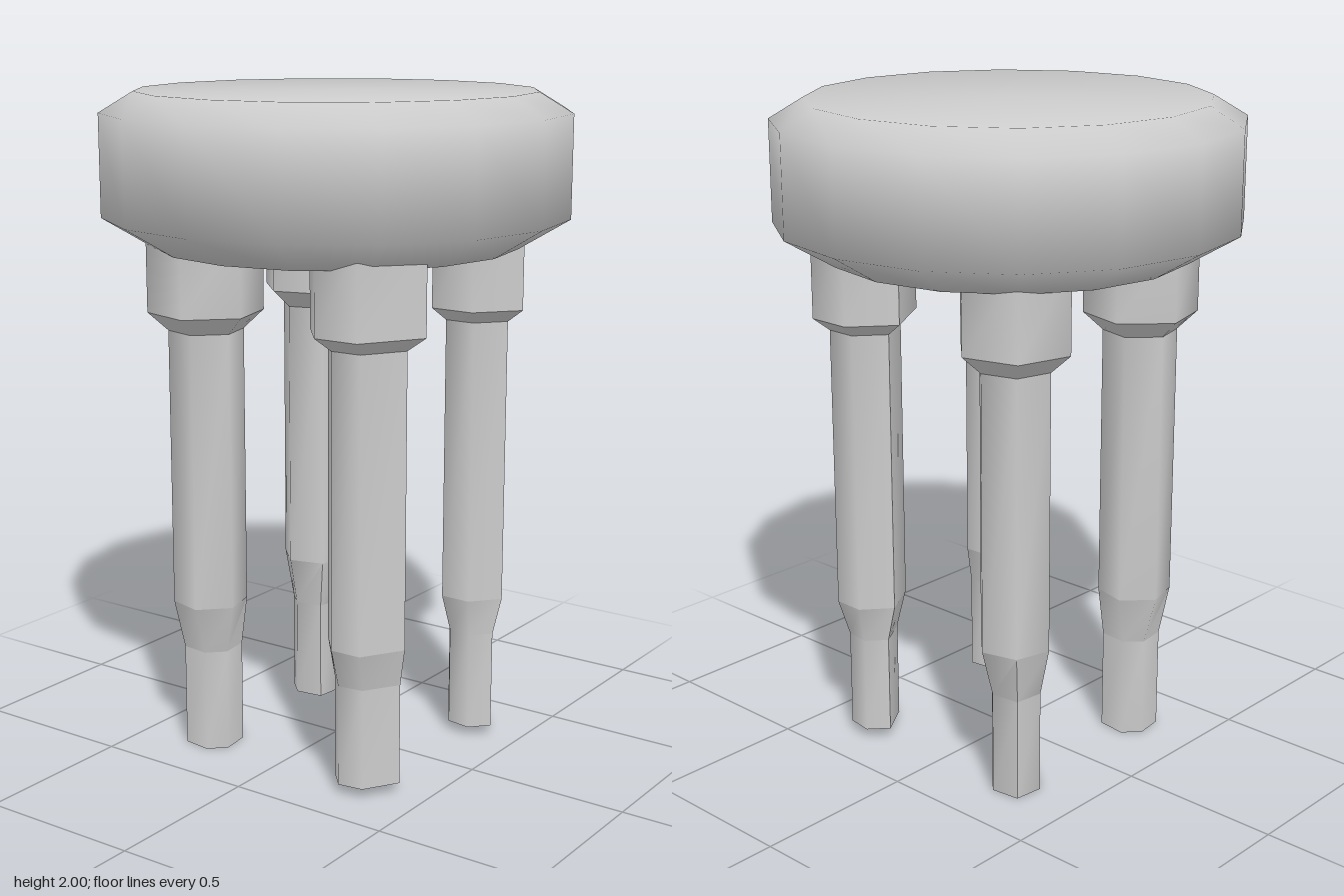
import * as THREE from 'three';
import { mergeGeometries, toCreasedNormals } from 'three/addons/utils/BufferGeometryUtils.js';

const material = new THREE.MeshStandardMaterial({ color: 0xcccccc });

// Half of a point-symmetric six-sided section, as [x, z]; the other half is its negative
const FRONT_SHAFT = [[0.103, -0.05], [0.101, 0.046], [-0.02, 0.12]];
const FRONT_FOOT = [[0.083, -0.045], [0.072, 0.032], [-0.028, 0.095]];
const BACK_SHAFT = [[0.079, -0.079], [0.108, 0.029], [0.029, 0.108]];
const BACK_FOOT = [[0.062, -0.062], [0.073, 0.026], [0.026, 0.073]];

// Full ring of a section, scaled, moved to the leg's place and mirrored for side = -1
function ring(half, scale, cx, cz, y, side) {
  const all = [...half, ...half.map(([x, z]) => [-x, -z])];
  const points = all.map(([x, z]) => [side * (cx + x * scale), y, cz + z * scale]);
  return side < 0 ? points.reverse() : points;
}

// One band of faces between an upper and a lower ring, smooth around the leg
function band(upper, lower) {
  const positions = [];
  const n = upper.length;
  for (let i = 0; i < n; i++) {
    const j = (i + 1) % n;
    positions.push(...lower[i], ...upper[i], ...lower[j]);
    positions.push(...lower[j], ...upper[i], ...upper[j]);
  }
  return geometryFrom(positions);
}

// Flat sole under the lowest ring
function sole(points) {
  const positions = [];
  for (let i = 1; i < points.length - 1; i++) positions.push(...points[0], ...points[i], ...points[i + 1]);
  return geometryFrom(positions);
}

function geometryFrom(positions) {
  const geometry = new THREE.BufferGeometry();
  geometry.setAttribute('position', new THREE.Float32BufferAttribute(positions, 3));
  return toCreasedNormals(geometry, 1.1);
}

// Leg: wide collar, straight shaft and a narrower foot
function leg(name, spec, side) {
  const { shaft, foot, x, z, footX, footZ, collarScale, levels } = spec;
  const [collarEnd, shaftTop, shaftEnd, footTop, bottom] = levels;
  const rings = [
    ring(shaft, collarScale, x, z, 1.62, side),
    ring(shaft, collarScale, x, z, collarEnd, side),
    ring(shaft, 1, x, z, shaftTop, side),
    ring(shaft, 1, x, z, shaftEnd, side),
    ring(foot, 1, footX, footZ, footTop, side),
    ring(foot, 1, footX, footZ, bottom, side),
  ];
  const parts = rings.slice(1).map((lower, i) => band(rings[i], lower));
  parts.push(sole(rings[rings.length - 1]));
  const mesh = new THREE.Mesh(mergeGeometries(parts), material);
  mesh.name = name;
  return mesh;
}

export function createModel() {
  const model = new THREE.Group();
  model.name = 'stool';

  // Padded round seat with bevelled rims
  const profile = [[0, 1.55], [0.54, 1.55], [0.69, 1.64], [0.69, 1.94], [0.59, 2], [0, 2]]
    .map(([r, y]) => new THREE.Vector2(r, y));
  const seat = new THREE.Mesh(toCreasedNormals(new THREE.LatheGeometry(profile, 16), 1.1), material);
  seat.name = 'seat';
  model.add(seat);

  // Front and back pairs of legs
  const front = {
    shaft: FRONT_SHAFT, foot: FRONT_FOOT, x: 0.293, z: 0.312, footX: 0.288, footZ: 0.314,
    collarScale: 1.46, levels: [1.36, 1.32, 0.45, 0.335, 0.03],
  };
  const back = {
    shaft: BACK_SHAFT, foot: BACK_FOOT, x: 0.278, z: -0.275, footX: 0.27, footZ: -0.273,
    collarScale: 1.54, levels: [1.36, 1.305, 0.465, 0.315, 0],
  };
  for (const [label, side] of [['Left', 1], ['Right', -1]]) {
    model.add(leg('front' + label + 'Leg', front, side));
    model.add(leg('back' + label + 'Leg', back, side));
  }
  return model;
}
